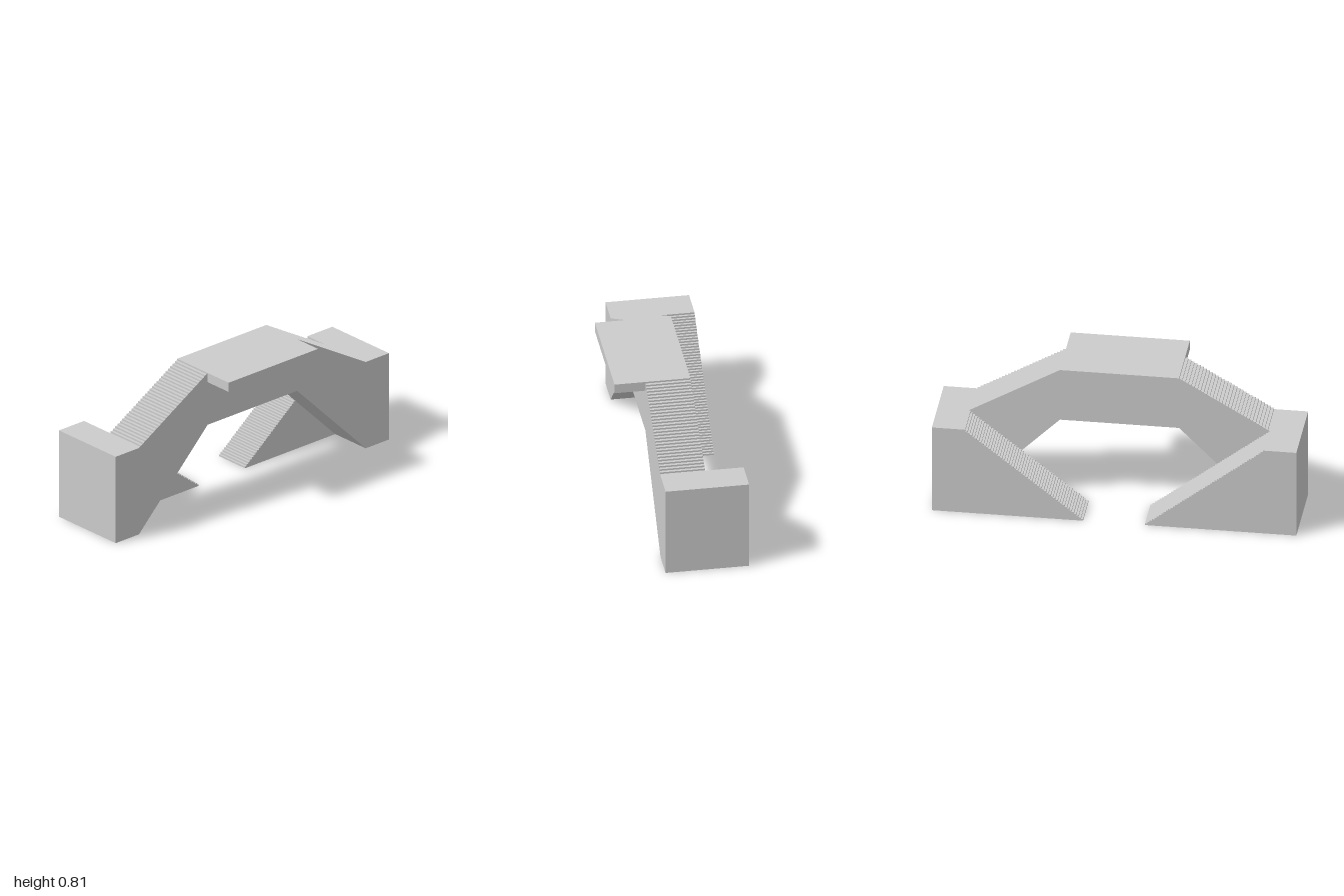
import * as THREE from 'three';

const END = 1, FOOT = 0.83, CREST = 0.327, LANDING = 0.517, DECK = 0.81, SOFFIT = 0.5;
const OUTER = -0.315, INNER = -0.103, SIDE = 0.145; // x limits

const material = new THREE.MeshStandardMaterial({ color: 0xcccccc, flatShading: true });

function addMesh(group, name, geometry) {
  const mesh = new THREE.Mesh(geometry, material);
  mesh.name = name;
  group.add(mesh);
}

// Extrudes a [z, y] outline along x, from x0 to x1
function slab(points, x0, x1) {
  const shape = new THREE.Shape(points.map(([z, y]) => new THREE.Vector2(z, y)));
  return new THREE.ExtrudeGeometry(shape, { depth: x1 - x0, bevelEnabled: false })
    .rotateY(-Math.PI / 2)
    .translate(x1, 0, 0);
}

// Zigzag of [z, y] points climbing from (z0, y0) to (z1, y1)
function steps(z0, y0, z1, y1, count, riseFirst) {
  const points = [[z0, y0]];
  const dz = (z1 - z0) / count, dy = (y1 - y0) / count;
  for (let i = 1; i <= count; i++) {
    const z = z0 + i * dz, y = y0 + i * dy;
    points.push(riseFirst ? [z - dz, y] : [z, y - dy], [z, y]);
  }
  return points;
}

const mirrorZ = (points) => points.map(([z, y]) => [-z, y]);

export function createModel() {
  const model = new THREE.Group();
  model.name = 'footbridge';

  // Arched span with a stepped upper flight on each slope
  const flight = steps(FOOT, LANDING, CREST, DECK, 30, false);
  const half = [[CREST, SOFFIT], [FOOT, 0], [END, 0], [END, LANDING], ...flight];
  addMesh(model, 'bridgeSpan', slab([...half, ...mirrorZ(half).reverse()], INNER, SIDE));

  // Straight side skins that cover the ends of the upper steps
  for (const s of [1, -1]) {
    const skin = new THREE.Shape([
      [FOOT, LANDING], [CREST, DECK], [CREST, DECK - 0.03], [FOOT, LANDING - 0.03],
    ].map(([z, y]) => new THREE.Vector2(s * z, y)));
    addMesh(model, 'stairSideSkin',
      new THREE.ShapeGeometry(skin).rotateY(-Math.PI / 2).translate(INNER, 0, 0));
    addMesh(model, 'stairSideSkin',
      new THREE.ShapeGeometry(skin).rotateY(Math.PI / 2).translate(SIDE, 0, 0));
  }

  // Lower flights beside the span, each with its landing block
  const lower = [...steps(0.17, 0, FOOT, LANDING, 52, true), [END, LANDING], [END, 0]];
  addMesh(model, 'frontLowerStairs', slab(lower, OUTER, INNER));
  addMesh(model, 'backLowerStairs', slab(mirrorZ(lower), OUTER, INNER));

  // Platform cantilevered from the deck
  const platform = new THREE.BoxGeometry(0.315 - SIDE, 0.055, CREST * 2);
  platform.translate((0.315 + SIDE) / 2, DECK - 0.0275, 0);
  addMesh(model, 'sidePlatform', platform);

  return model;
}
